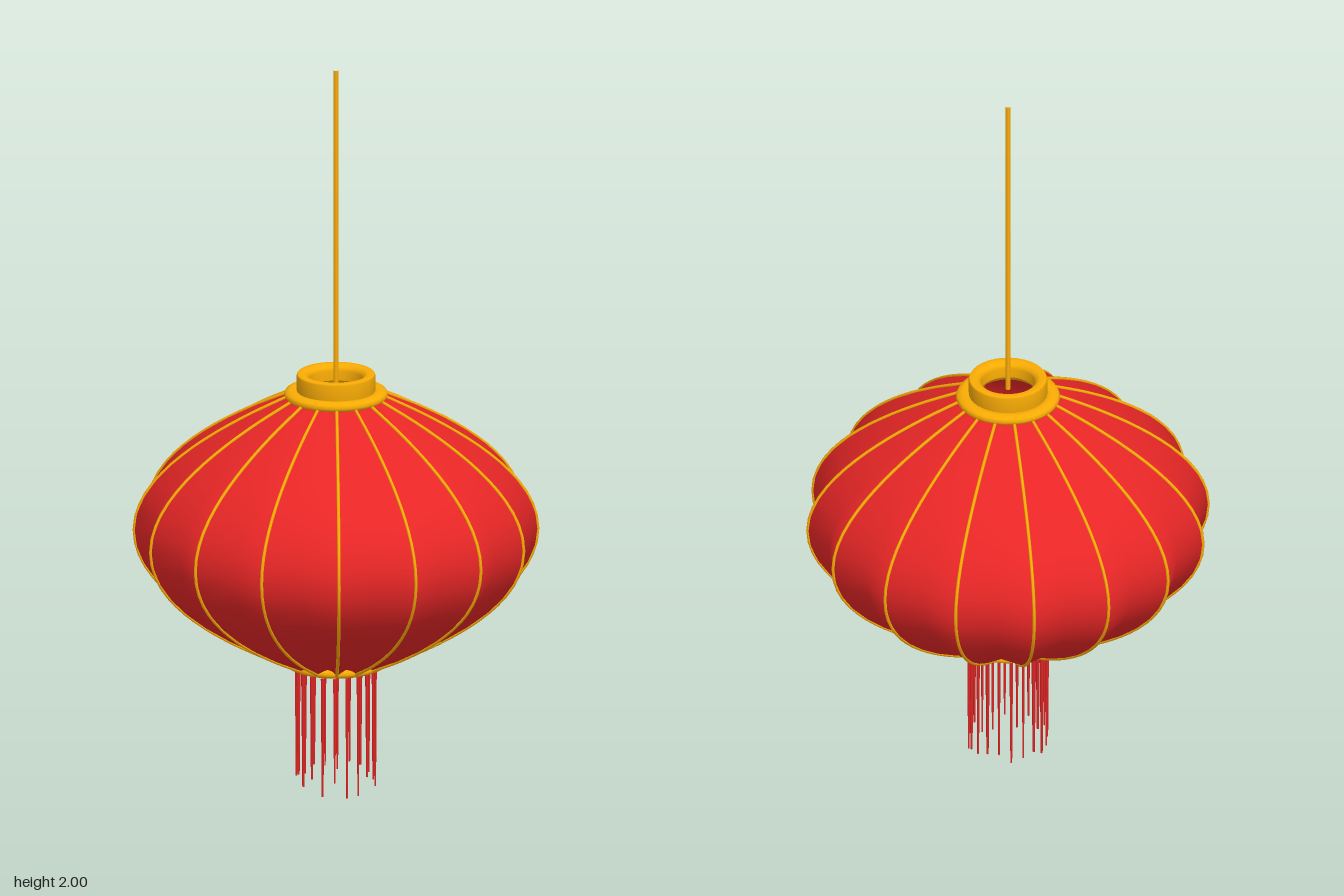
import * as THREE from 'three';

const RIBS = 16;
const MID_Y = 0.72, HALF_H = 0.37; // lantern centre and half height
const NECK = 0.13, BULGE = 0.408; // opening radius and swell beyond it
const ROWS = 16;

const red = new THREE.MeshStandardMaterial({ color: 0xe82626, side: THREE.DoubleSide });
const gold = new THREE.MeshStandardMaterial({ color: 0xfaac04 });

// Parabolic profile: t runs from -1 (bottom opening) to 1 (top opening)
function onLantern(t, angle, sag = 0) {
  const r = NECK + BULGE * (1 - t * t) - sag;
  return new THREE.Vector3(r * Math.sin(angle), MID_Y + HALF_H * t, r * Math.cos(angle));
}

// Fabric skin: stretched over the ribs, sagging inward halfway between them
function makeShade() {
  const cols = RIBS * 2;
  const geo = new THREE.PlaneGeometry(1, 1, cols, ROWS);
  const pos = geo.attributes.position;
  for (let row = 0; row <= ROWS; row++) {
    const t = 1 - 2 * row / ROWS;
    for (let c = 0; c <= cols; c++) {
      const p = onLantern(t, (c % cols) / cols * Math.PI * 2, c % 2 ? 0.036 : 0);
      pos.setXYZ(row * (cols + 1) + c, p.x, p.y, p.z);
    }
  }
  geo.computeVertexNormals();
  // Match the normals where the skin closes on itself
  const n = geo.attributes.normal;
  for (let row = 0; row <= ROWS; row++) {
    const a = row * (cols + 1), b = a + cols;
    const v = new THREE.Vector3().fromBufferAttribute(n, a)
      .add(new THREE.Vector3().fromBufferAttribute(n, b)).normalize();
    n.setXYZ(a, v.x, v.y, v.z);
    n.setXYZ(b, v.x, v.y, v.z);
  }
  return new THREE.Mesh(geo, red);
}

// Ring with a rounded section, stretched vertically to the given height
function makeRing(name, inner, outer, bottom, top) {
  const tube = (outer - inner) / 2;
  const geo = new THREE.TorusGeometry((inner + outer) / 2, tube, 10, 32);
  geo.rotateX(Math.PI / 2);
  geo.scale(1, (top - bottom) / (2 * tube), 1);
  const ring = new THREE.Mesh(geo, gold);
  ring.position.y = (bottom + top) / 2;
  ring.name = name;
  return ring;
}

export function createModel() {
  const model = new THREE.Group();
  model.name = 'hangingLantern';

  const shade = makeShade();
  shade.name = 'shade';
  model.add(shade);

  // Bent ribs
  const ribs = new THREE.Group();
  ribs.name = 'ribs';
  const points = [];
  for (let i = 0; i <= ROWS; i++) points.push(onLantern(2 * i / ROWS - 1, 0));
  const ribGeo = new THREE.TubeGeometry(new THREE.CatmullRomCurve3(points), 32, 0.0045, 6);
  for (let i = 0; i < RIBS; i++) {
    const rib = new THREE.Mesh(ribGeo, gold);
    rib.name = 'rib';
    rib.rotation.y = i / RIBS * Math.PI * 2;
    ribs.add(rib);
  }
  model.add(ribs);

  // Rims and collar
  model.add(makeRing('topRim', 0.095, 0.139, 1.083, 1.111));
  model.add(makeRing('bottomRim', 0.103, 0.139, 0.341, 0.366));
  const section = [
    [0.072, 1.112], [0.08, 1.1], [0.098, 1.1], [0.105, 1.105], [0.105, 1.15],
    [0.102, 1.155], [0.085, 1.155], [0.075, 1.148], [0.072, 1.138], [0.072, 1.112],
  ].map(([x, y]) => new THREE.Vector2(x, y));
  const collar = new THREE.Mesh(new THREE.LatheGeometry(section, 32), gold);
  collar.name = 'collar';
  model.add(collar);

  // Hanging cord
  const cord = new THREE.Mesh(new THREE.CylinderGeometry(0.007, 0.007, 0.88, 8, 1, true), gold);
  cord.position.y = 1.56;
  cord.name = 'cord';
  model.add(cord);

  // Fringe strands of uneven length and thickness
  const fringe = new THREE.Group();
  fringe.name = 'fringe';
  let seed = 11;
  const random = () => (seed = (seed * 16807) % 2147483647) / 2147483647;
  const strands = 20;
  for (let i = 0; i < strands; i++) {
    const length = 0.285 + 0.05 * random();
    const thickness = 0.004 + 0.003 * random();
    const angle = (i + 0.35) / strands * Math.PI * 2;
    const strand = new THREE.Mesh(new THREE.CylinderGeometry(thickness, thickness / 2, length, 4), red);
    strand.position.set(0.105 * Math.sin(angle), 0.35 - length / 2, 0.105 * Math.cos(angle));
    strand.rotation.y = angle + Math.PI / 4;
    strand.name = 'strand';
    fringe.add(strand);
  }
  model.add(fringe);

  // Stand the longest strand on the ground
  const box = new THREE.Box3().setFromObject(fringe);
  fringe.position.y -= box.min.y;
  return model;
}
